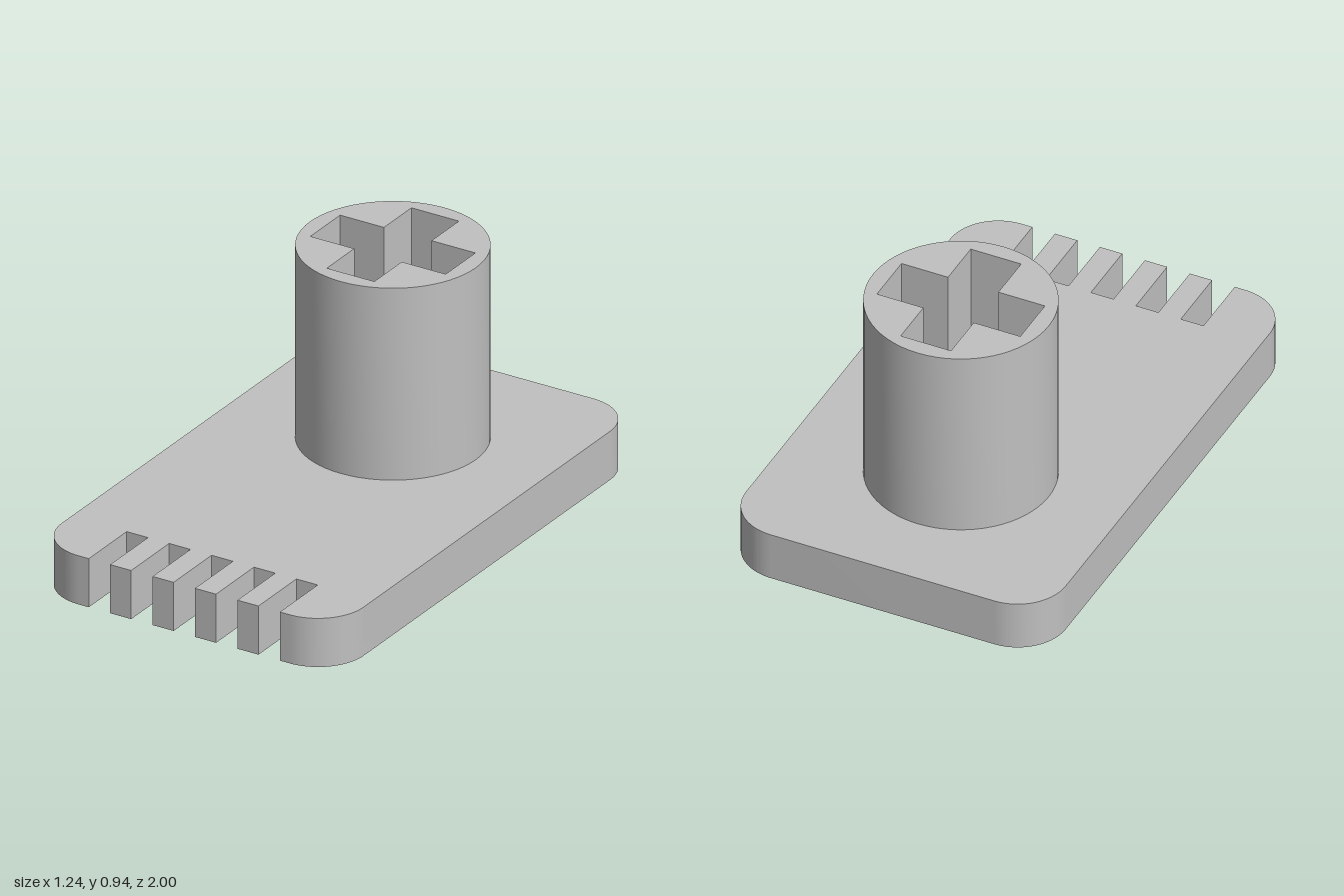
import * as THREE from 'three';
import { toCreasedNormals } from 'three/addons/utils/BufferGeometryUtils.js';

const HALF_W = 0.622, HALF_L = 1, PLATE_H = 0.19, CORNER = 0.187;
const POST_Z = -0.375, POST_R = 0.342, POST_H = 0.75;

// Extrude a plan (shape y = -z) upwards, smooth on curves and sharp on edges
function extrudeUp(shape, height) {
  const geo = new THREE.ExtrudeGeometry(shape, { depth: height, bevelEnabled: false, curveSegments: 32 });
  geo.rotateX(-Math.PI / 2);
  return toCreasedNormals(geo, 0.5);
}

// Rounded plate outline with five slots cut into the front edge
function plateShape() {
  const s = new THREE.Shape();
  const x = HALF_W - CORNER, y = HALF_L - CORNER;
  s.moveTo(-x, -HALF_L);
  for (let i = -2; i <= 2; i++) {
    const c = i * 0.175, w = 0.044;
    s.lineTo(c - w, -HALF_L);
    s.lineTo(c - w, -0.75);
    s.lineTo(c + w, -0.75);
    s.lineTo(c + w, -HALF_L);
  }
  s.lineTo(x, -HALF_L);
  const corners = [[x, -y], [x, y], [-x, y], [-x, -y]];
  corners.forEach(([cx, cy], i) => {
    const a = (i - 1) * Math.PI / 2;
    s.absarc(cx, cy, CORNER, a, a + Math.PI / 2, false);
  });
  return s;
}

// Round post outline with a cross-shaped socket
function postShape() {
  const s = new THREE.Shape();
  s.absarc(0, 0, POST_R, 0, Math.PI * 2, false);
  const a = 0.279, b = 0.098;
  const cross = [[a, -b], [a, b], [b, b], [b, a], [-b, a], [-b, b],
    [-a, b], [-a, -b], [-b, -b], [-b, -a], [b, -a], [b, -b]];
  s.holes.push(new THREE.Path(cross.map(([px, py]) => new THREE.Vector2(px, py))));
  return s;
}

export function createModel() {
  const group = new THREE.Group();
  const grey = new THREE.MeshStandardMaterial({ color: 0xc0c0c0 });
  grey.name = 'grey';

  const plate = new THREE.Mesh(extrudeUp(plateShape(), PLATE_H), grey);
  plate.name = 'slottedPlate';

  const post = new THREE.Mesh(extrudeUp(postShape(), POST_H), grey);
  post.name = 'crossSocketPost';
  post.position.set(0, PLATE_H, POST_Z);

  group.add(plate, post);
  return group;
}
